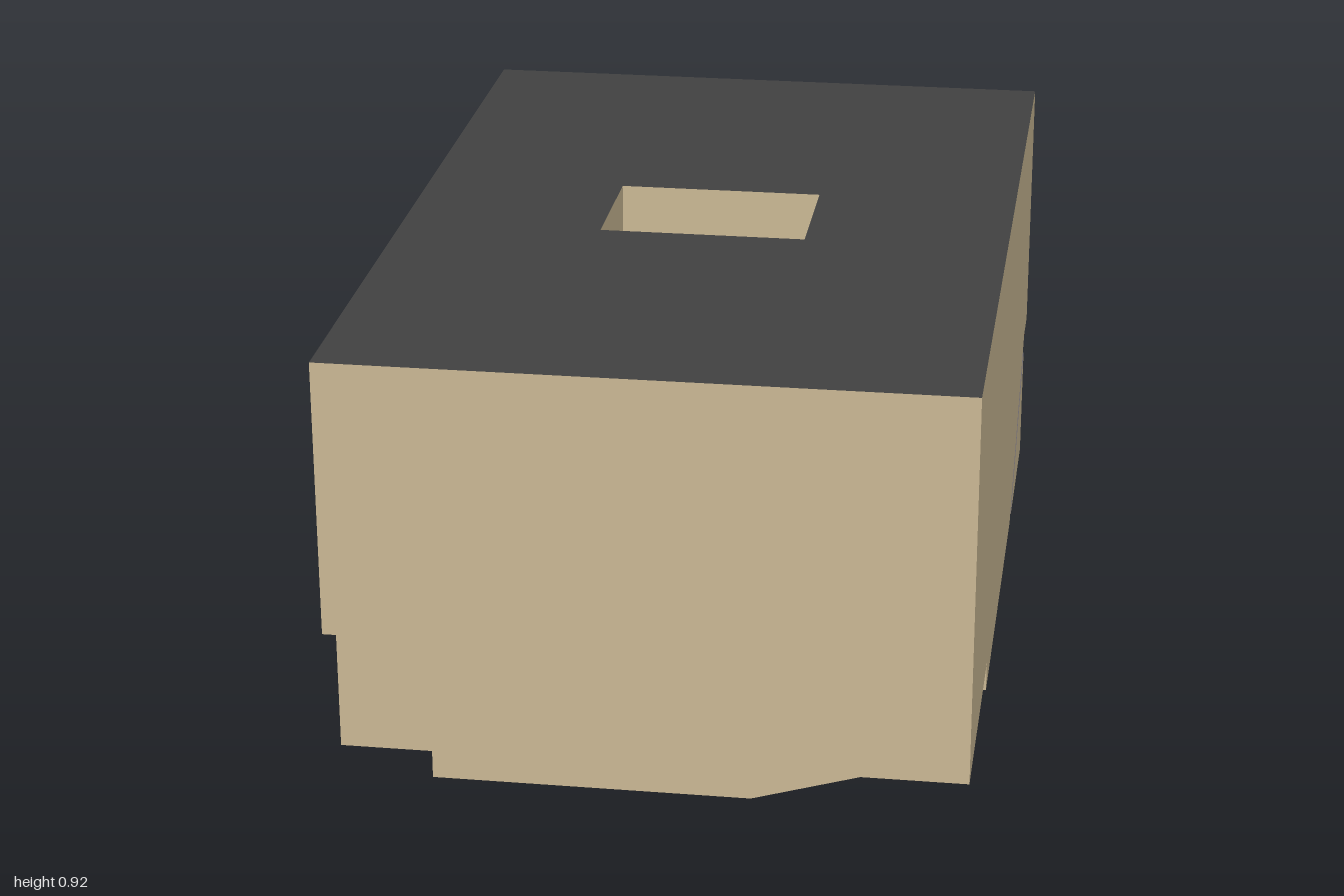
import * as THREE from 'three';

const material = (name, color) => {
  const m = new THREE.MeshStandardMaterial({ color });
  m.name = name;
  return m;
};

export function createModel() {
  const tan = material('tan wall', 0xc9b793);
  const roof = material('charcoal roof', 0x404040);
  const ceiling = material('grey ceiling', 0x5a565c);
  const brown = material('brown underside', 0x643e24);

  const model = new THREE.Group();
  model.name = 'block';

  const W = 0.667, H = 0.915;           // half width, height
  const slotX = 0.445, slotZ = 0.44;    // corner slot limits
  const slotY = 0.315, low = 0.067;     // heights of slot and recess ceilings
  const recessX = 0.22, recessZ = 0.45, rampZ = 0.86;

  const shapeOf = (pts) => new THREE.Shape(pts.map(([a, b]) => new THREE.Vector2(a, b)));
  const extrude = (shape, depth) =>
    new THREE.ExtrudeGeometry(shape, { depth, bevelEnabled: false });

  // Colour each triangle by the way it faces: wall, top, underside or slope
  function paintedMesh(name, geometry, under) {
    const normals = geometry.attributes.normal;
    geometry.clearGroups();
    for (let i = 0; i < normals.count; i += 3) {
      const ny = normals.getY(i);
      const index = ny > 0.99 ? 1 : ny < -0.99 ? 2 : Math.abs(ny) > 0.1 ? 3 : 0;
      geometry.addGroup(i, 3, index);
    }
    const mesh = new THREE.Mesh(geometry, [tan, roof, under, ceiling]);
    mesh.name = name;
    return mesh;
  }

  // Horizontal layer with the central shaft cut through it
  function layer(name, half, y0, y1, under) {
    const outline = [...half, ...half.map(([x, s]) => [-x, -s])];
    const shape = shapeOf(outline);
    shape.holes.push(new THREE.Path([
      new THREE.Vector2(-0.225, -0.15), new THREE.Vector2(-0.225, 0.15),
      new THREE.Vector2(0.225, 0.15), new THREE.Vector2(0.225, -0.15),
    ]));
    const geometry = extrude(shape, y1 - y0).rotateX(-Math.PI / 2).translate(0, y0, 0);
    model.add(paintedMesh(name, geometry, under));
  }

  // Outlines are (x, -z) for one half; the other half is the same turned by 180 degrees
  layer('upperBody', [[W, -1], [W, 1]], slotY, H, ceiling);
  layer('middleBody', [[W, -1], [W, slotZ], [slotX, slotZ], [slotX, 1]], low, slotY, ceiling);
  layer('lowerBody', [
    [recessX, -1], [recessX, -recessZ], [W, -recessZ],
    [W, slotZ], [slotX, slotZ], [slotX, 1],
  ], 0, low, brown);

  // Prism running across x, with a (-z, y) profile
  const crossPrism = (pts) =>
    extrude(shapeOf(pts), W - slotX).rotateY(Math.PI / 2).translate(slotX, 0, 0);

  // Corner details, repeated at the opposite corners
  for (let i = 0; i < 2; i++) {
    const corners = new THREE.Group();
    corners.name = i ? 'frontSlotAndBackRamp' : 'backSlotAndFrontRamp';
    corners.rotation.y = i * Math.PI;

    // Sloping ceiling above the slot
    corners.add(paintedMesh('slotCeiling',
      crossPrism([[slotZ, 0], [0.89, slotY], [slotZ, slotY]]), brown));
    // Thin brown lip where the sloping ceiling ends
    const lip = new THREE.Mesh(new THREE.BoxGeometry(W - slotX, 0.005, 0.003), brown);
    lip.name = 'slotLip';
    lip.position.set((W + slotX) / 2, slotY - 0.0025, -0.89);
    corners.add(lip);
    // Wedge below the slot
    corners.add(paintedMesh('slotWedge',
      crossPrism([[0.49, 0], [0.89, 0], [0.89, 0.265]]), brown));
    // Short ramp at the mouth of the low recess
    const ramp = extrude(shapeOf([[recessX, 0], [slotX, low], [recessX, low]]), 1 - rampZ);
    corners.add(paintedMesh('recessRamp', ramp.translate(0, 0, rampZ), ceiling));

    model.add(corners);
  }
  return model;
}
